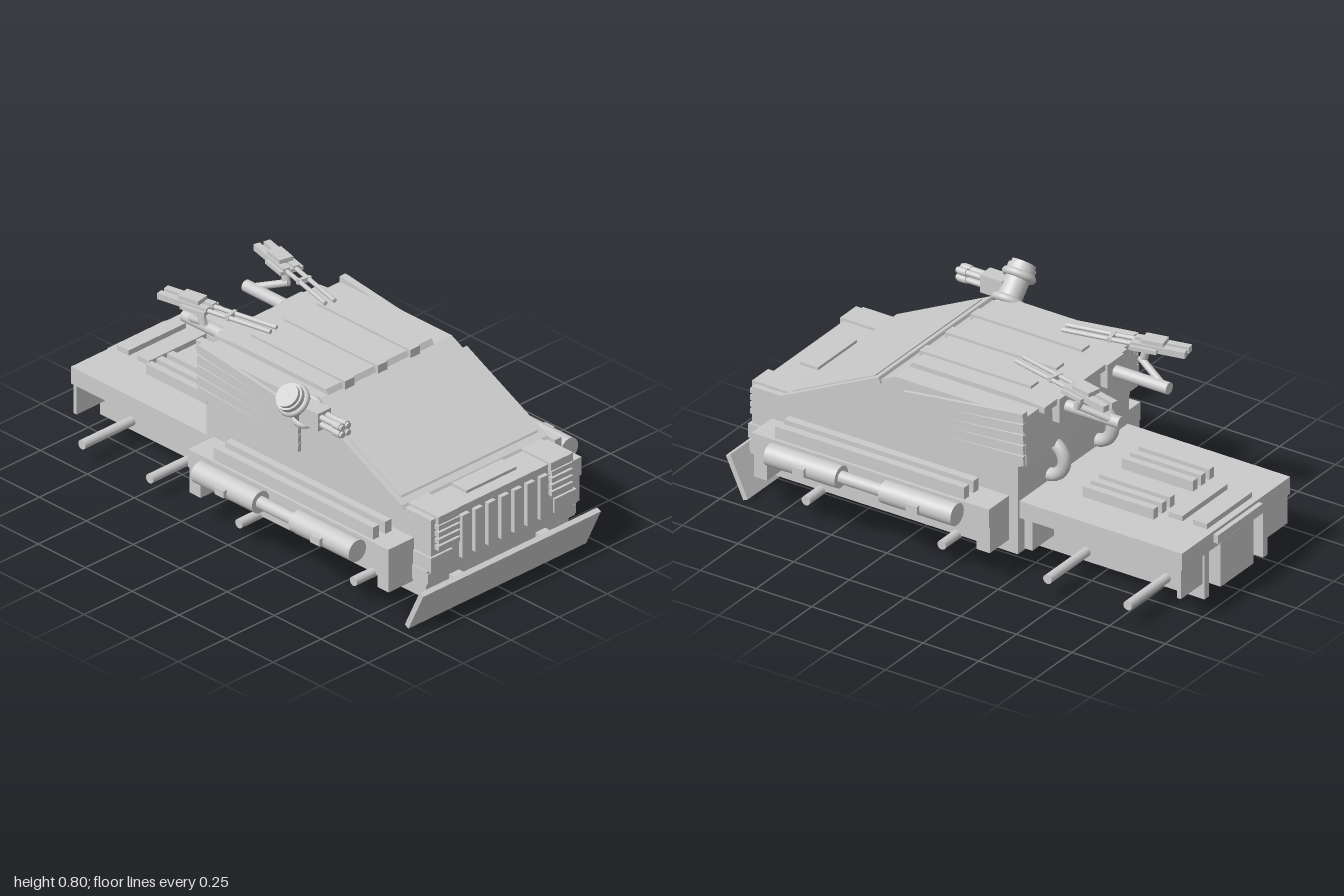
import * as THREE from 'three';

const mat = new THREE.MeshStandardMaterial({ color: 0xcccccc });

export function createModel() {
  const root = new THREE.Group();

  const add = (name, geo, parent = root) => {
    const m = new THREE.Mesh(geo, mat);
    m.name = name;
    parent.add(m);
    return m;
  };
  // Box given by its min and max on each axis
  const box = (name, x0, x1, y0, y1, z0, z1, parent) => {
    const m = add(name, new THREE.BoxGeometry(x1 - x0, y1 - y0, z1 - z0), parent);
    m.position.set((x0 + x1) / 2, (y0 + y1) / 2, (z0 + z1) / 2);
    return m;
  };
  // Box mirrored to both sides
  const pair = (name, x0, x1, ...r) => {
    box(name + 'Left', x0, x1, ...r);
    box(name + 'Right', -x1, -x0, ...r);
  };
  // Cylinder between two points
  const rod = (name, a, b, r, parent, sides = 20) => {
    const A = new THREE.Vector3(...a), B = new THREE.Vector3(...b), d = B.clone().sub(A);
    const m = add(name, new THREE.CylinderGeometry(r, r, d.length(), sides), parent);
    m.position.copy(A).add(B).multiplyScalar(0.5);
    m.quaternion.setFromUnitVectors(new THREE.Vector3(0, 1, 0), d.normalize());
    return m;
  };
  // Side profile of [z, y] points, extruded across the width
  const slab = (name, pts, halfWidth) => {
    const shape = new THREE.Shape(pts.map(p => new THREE.Vector2(...p)));
    const geo = new THREE.ExtrudeGeometry(shape, { depth: halfWidth * 2, bevelEnabled: false });
    return add(name, geo.translate(0, 0, -halfWidth).rotateY(-Math.PI / 2));
  };

  // Cab
  slab('cabBody', [[0.92, 0.09], [0.92, 0.2], [0.945, 0.2], [0.945, 0.435], [0.79, 0.435], [0.37, 0.64],
    [0.3, 0.675], [-0.28, 0.675], [-0.29, 0.48], [-0.25, 0.46], [-0.25, 0.09]], 0.37);
  slab('windshieldFrame', [[0.81, 0.43], [0.8, 0.445], [0.37, 0.655], [0.36, 0.63], [0.76, 0.43]], 0.38);
  slab('windshieldPane', [[0.775, 0.455], [0.77, 0.465], [0.4, 0.645], [0.4, 0.63]], 0.355);
  slab('roofPlate', [[0.31, 0.66], [0.29, 0.695], [-0.17, 0.695], [-0.305, 0.685], [-0.305, 0.66]], 0.275);
  for (const x of [-0.17, 0, 0.17]) box('roofRib', x - 0.025, x + 0.025, 0.66, 0.705, -0.19, 0.31);

  // Fanned louvres on the cab sides
  for (const s of [-1, 1]) for (let i = 0; i < 5; i++) {
    const m = add('sideLouvre', new THREE.BoxGeometry(0.03, 0.038, 0.54));
    m.position.set(s * 0.37, 0.487 + i * 0.04, -0.015);
    m.rotation.x = 0.05 + i * 0.018;
  }

  // Nose: grille, lamps, hood and bumper
  for (let i = -3; i <= 3; i++) box('grilleBar', i * 0.068 - 0.02, i * 0.068 + 0.02, 0.225, 0.405, 0.93, 0.963);
  for (let i = 0; i < 4; i++) pair('lampLouvre', 0.24, 0.35, 0.305 + i * 0.029, 0.325 + i * 0.029, 0.92, 0.967);
  pair('lampHood', 0.24, 0.345, 0.41, 0.445, 0.79, 0.96);
  pair('lowerLamp', 0.265, 0.38, 0.22, 0.28, 0.86, 0.955);
  pair('lowerLampBase', 0.3, 0.385, 0.16, 0.22, 0.86, 0.94);
  box('hoodPanel', -0.13, 0.13, 0.43, 0.447, 0.81, 0.89);
  box('bumper', -0.385, 0.385, 0.17, 0.21, 0.9, 0.945);
  const blade = add('frontBlade', new THREE.BoxGeometry(0.925, 0.185, 0.022));
  blade.position.set(0, 0.089, 0.95);
  blade.rotation.x = 0.44;
  pair('bladeArm', 0.2, 0.25, 0.1, 0.15, 0.88, 0.96);

  // Fenders with rails, legs and side tanks
  pair('fender', 0.36, 0.503, 0.25, 0.327, -0.21, 0.855);
  pair('fenderSkirt', 0.36, 0.4, 0.2, 0.25, -0.09, 0.76);
  pair('fenderFrontLeg', 0.36, 0.497, 0.14, 0.255, 0.79, 0.85);
  pair('fenderRearLeg', 0.36, 0.497, 0.14, 0.255, -0.21, -0.15);
  pair('fenderRailOuter', 0.458, 0.49, 0.32, 0.378, -0.09, 0.76);
  pair('fenderRailInner', 0.395, 0.428, 0.32, 0.378, -0.09, 0.76);
  for (const s of [-1, 1]) {
    const x = s * 0.552, y = 0.295;
    rod('tankFront', [x, y, 0.42], [x, y, 0.74], 0.045, root, 32);
    rod('tankRear', [x, y, -0.1], [x, y, 0.225], 0.045, root, 32);
    rod('tankLink', [x, y, 0.2], [x, y, 0.44], 0.025);
    box('tankBracket', x - 0.06, x + 0.06, y - 0.015, y + 0.015, 0.55, 0.6);
    box('tankBracket', x - 0.06, x + 0.06, y - 0.015, y + 0.015, 0.04, 0.09);
  }

  // Axles
  for (const z of [0.635, 0.025, -0.45, -0.81]) rod('axle', [-0.47, 0.09, z], [0.47, 0.09, z], 0.019);

  // Rear bed: deck on an open chassis
  box('bedDeck', -0.36, 0.36, 0.24, 0.312, -0.98, -0.25);
  pair('chassisRail', 0.18, 0.21, 0.05, 0.25, -0.98, -0.085);
  box('chassisCrossFront', -0.2, 0.2, 0.05, 0.25, -0.3, -0.25);
  box('chassisCrossMiddle', -0.2, 0.2, 0.1, 0.25, -0.66, -0.62);
  box('chassisTail', -0.11, 0.11, 0.06, 0.25, -0.985, -0.86);
  pair('deckPlateFront', 0.2, 0.355, 0.115, 0.245, -0.305, -0.27);
  pair('deckPlateRear', 0.2, 0.355, 0.115, 0.245, -0.972, -0.955);
  box('tailPlate', -0.15, 0.15, 0.265, 0.3, -1, -0.97);
  for (const z of [-0.92, -0.81]) box('deckStep', -0.15, 0.15, 0.3, 0.334, z - 0.031, z + 0.031);
  for (const s of [-1, 1]) for (const x of [0.075, 0.13, 0.185])
    box('deckSlat', s * x - 0.015, s * x + 0.015, 0.3, 0.356, -0.745, -0.425);

  // Curved hoses behind the cab
  for (const x of [-0.16, 0.16]) {
    const hose = add('rearHose', new THREE.TorusGeometry(0.072, 0.026, 14, 24, Math.PI));
    hose.rotation.set(0, Math.PI / 2, 0);
    hose.geometry.rotateZ(-Math.PI / 2);
    hose.position.set(x, 0.408, -0.245);
  }

  // Roof guns on rear arms
  for (const [x, px, yaw] of [[-0.225, -0.185, 0.2], [0.18, 0.135, -0.24]]) {
    box('gunArmSocket', px - 0.055, px + 0.055, 0.585, 0.685, -0.315, -0.27);
    rod('gunArm', [px, 0.635, -0.3], [px, 0.635, -0.555], 0.024);
    const cx = x - Math.sin(yaw) * 0.07;
    rod('gunStrut', [px, 0.635, -0.535], [cx, 0.69, -0.39], 0.014);
    rod('gunPost', [cx, 0.68, -0.4], [cx, 0.75, -0.42], 0.016);
    const gun = new THREE.Group();
    gun.name = 'roofGun';
    for (const s of [-1, 1]) {
      rod('gunBarrel', [s * 0.02, 0, -0.1], [s * 0.02, 0, 0.25], 0.009, gun, 12);
      box('gunReceiver', s * 0.022 - 0.014, s * 0.022 + 0.014, -0.012, 0.014, -0.25, -0.03, gun);
    }
    box('gunCradle', -0.05, 0.05, -0.012, 0.004, -0.14, -0.03, gun);
    box('gunSight', -0.03, 0.03, 0.012, 0.031, -0.16, -0.07, gun);
    box('gunBarrelClamp', -0.03, 0.03, -0.01, 0.01, 0.05, 0.065, gun);
    gun.position.set(x, 0.757, -0.335);
    gun.rotation.y = yaw;
    root.add(gun);
  }

  // Side turret: tilted drum with rings, and a four-barrel cluster
  const turret = new THREE.Group();
  turret.name = 'sideTurret';
  const drum = new THREE.Group();
  drum.name = 'turretDrum';
  rod('drum', [0, -0.1, 0], [0, 0.1, 0], 0.048, drum, 24);
  rod('drumCap', [0, 0.05, 0], [0, 0.085, 0], 0.056, drum, 24);
  for (const y of [-0.055, 0.05]) {
    const ring = add('drumRing', new THREE.TorusGeometry(0.052, 0.016, 12, 28), drum);
    ring.rotation.x = Math.PI / 2;
    ring.position.y = y;
  }
  drum.rotation.z = 0.75;
  turret.add(drum);
  box('turretBreech', -0.034, 0.034, -0.045, 0.03, 0.03, 0.13, turret);
  for (const x of [-0.015, 0.015]) for (const y of [-0.022, 0.008]) {
    rod('turretBarrel', [x, y, 0.03], [x, y, 0.245], 0.012, turret, 14);
    rod('turretMuzzle', [x, y, 0.2], [x, y, 0.235], 0.016, turret, 14);
  }
  turret.position.set(-0.425, 0.69, 0.305);
  root.add(turret);

  return root;
}
